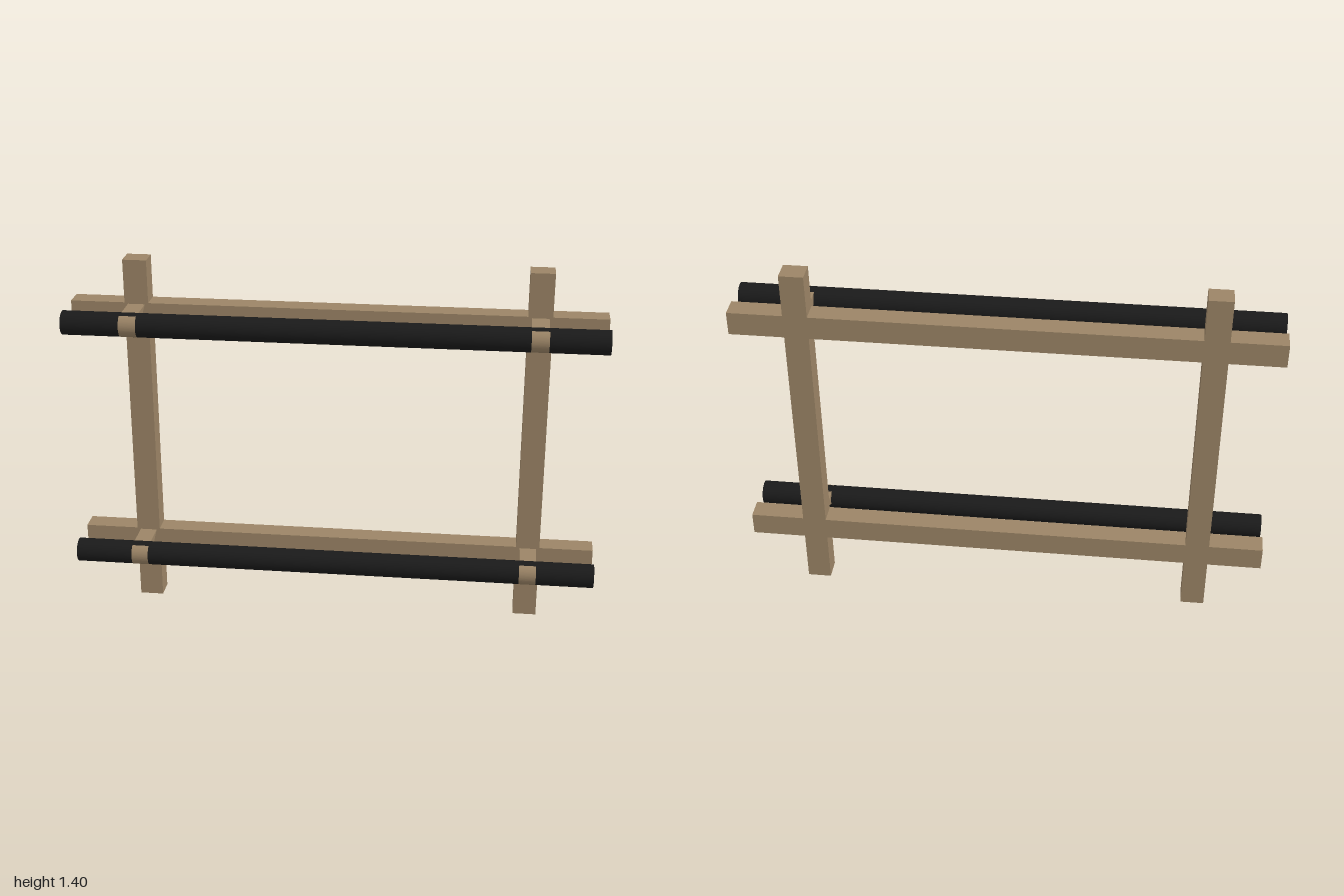
import * as THREE from 'three';

export function createModel() {
  const model = new THREE.Group();
  const wood = new THREE.MeshStandardMaterial({ color: 0x9b8466 });
  const black = new THREE.MeshStandardMaterial({ color: 0x1a1a1a });

  const railHeights = [0.25, 1.19];
  const sides = [['left', 0.75], ['right', -0.75]];
  const frameZ = -0.084, frameFront = -0.044;
  const barZ = 0.079, barRadius = 0.045;

  function add(name, geometry, material, x, y, z) {
    const mesh = new THREE.Mesh(geometry, material);
    mesh.name = name;
    mesh.position.set(x, y, z);
    model.add(mesh);
  }

  // Bracket side profile: square arm whose front end follows the bar's curve
  const armHalf = 0.04, armWidth = 0.064, capRadius = barRadius + 0.0004;
  const angle = Math.asin(armHalf / capRadius);
  const profile = new THREE.Shape();
  profile.moveTo(frameFront - barZ, -armHalf);
  profile.absarc(0, 0, capRadius, -angle, angle, false);
  profile.lineTo(frameFront - barZ, armHalf);
  profile.closePath();
  const bracket = new THREE.ExtrudeGeometry(profile, { depth: armWidth, bevelEnabled: false, curveSegments: 16 });
  bracket.translate(0, 0, -armWidth / 2).rotateY(-Math.PI / 2);

  // Uprights
  const post = new THREE.BoxGeometry(0.09, 1.4, 0.08);
  for (const [side, x] of sides) add(side + 'Post', post, wood, x, 0.7, frameZ);

  // Cross beams flush with the uprights, black bars with bare ends, and their brackets
  const beam = new THREE.BoxGeometry(2, 0.09, 0.08);
  const bar = new THREE.CylinderGeometry(barRadius, barRadius, 2, 48).rotateZ(Math.PI / 2);
  railHeights.forEach((y, i) => {
    const level = i ? 'upper' : 'lower';
    add(level + 'Beam', beam, wood, 0, y, frameZ);
    add(level + 'Bar', bar, [black, wood, wood], 0, y, barZ);
    for (const [side, x] of sides) add(`${level} ${side} bracket`, bracket, wood, x, y, barZ);
  });

  return model;
}
